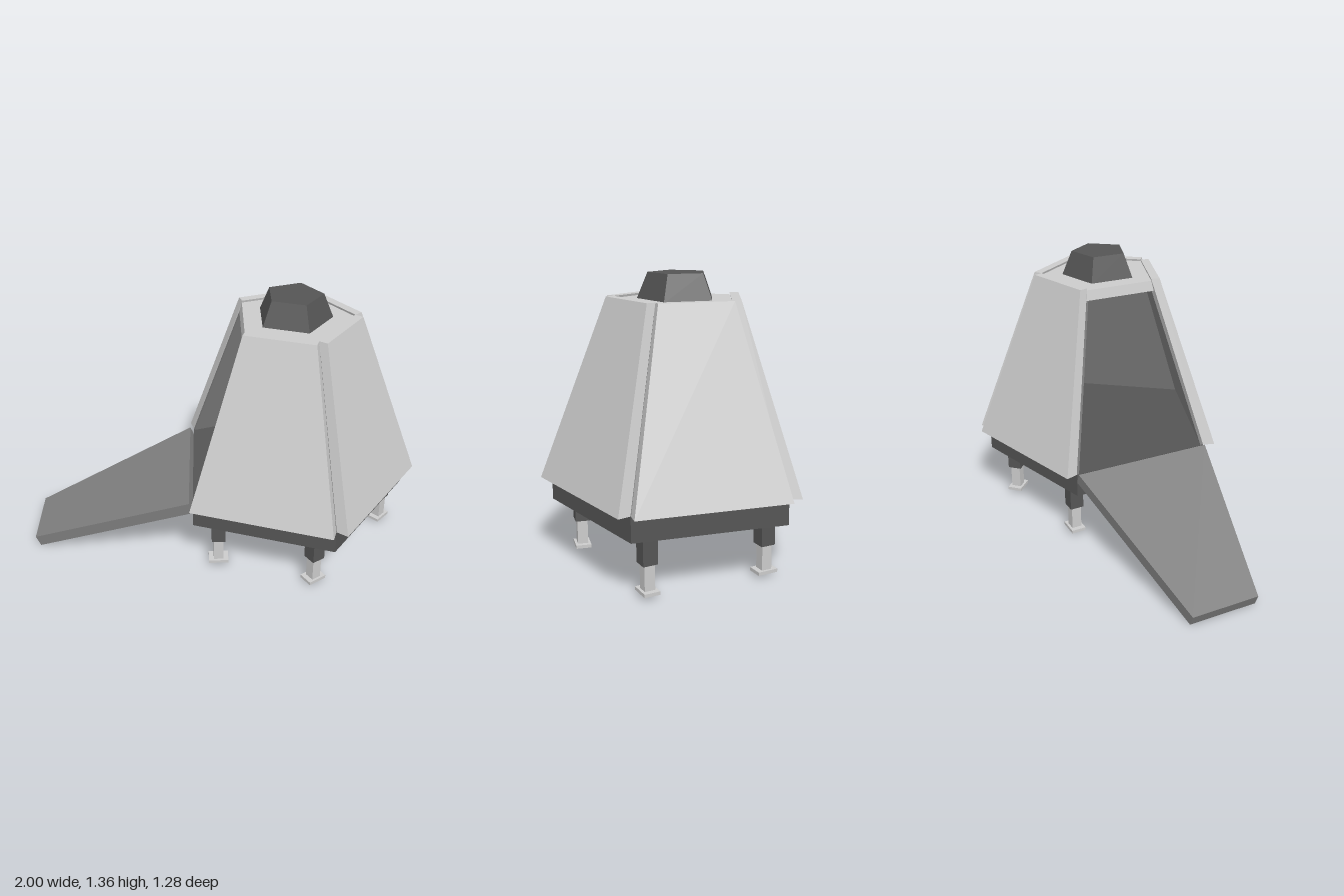
import * as THREE from 'three';

const CX = 0.336, CZ = -0.005;          // axis of the cabin
const TURN = THREE.MathUtils.degToRad(1.6);
const STEP = Math.PI * 2 / 5;
const FLOOR = 0.39, TOP = 1.25;

const mat = (color) => new THREE.MeshStandardMaterial({ color, flatShading: true });
const light = mat(0xcccccc), mid = mat(0x808080), dark = mat(0x555555);

function add(parent, name, geometry, material, x = 0, y = 0, z = 0) {
  const mesh = new THREE.Mesh(geometry, material);
  mesh.name = name;
  mesh.position.set(x, y, z);
  parent.add(mesh);
  return mesh;
}

// Five-sided frustum between two heights, with one corner near +x
function frustum(rTop, rBottom, y0, y1) {
  return new THREE.CylinderGeometry(rTop, rBottom, y1 - y0, 5, 1, false, Math.PI / 2 - TURN)
    .translate(0, (y0 + y1) / 2, 0);
}

// Unit box whose vertices are moved by a rule; u, v, w run from 0 to 1
function shapedBox(rule) {
  const g = new THREE.BoxGeometry(1, 1, 1);
  const p = g.attributes.position;
  for (let i = 0; i < p.count; i++) {
    p.setXYZ(i, ...rule(p.getX(i) + 0.5, p.getY(i) + 0.5, p.getZ(i) + 0.5));
  }
  g.computeVertexNormals();
  return g;
}

// Tapered wall leaning inward, from depth d0 to d1 off the pentagon side
function wall(d0, d1, yTop) {
  const { lerp } = THREE.MathUtils;
  return shapedBox((u, v, w) => [
    (u * 2 - 1) * lerp(0.358, 0.174, v),
    lerp(FLOOR, yTop, v),
    lerp(0.495, 0.24, v) + lerp(d0, d1, w) * lerp(1, 0.72, v),
  ]);
}

export function createModel() {
  const model = new THREE.Group();
  const cabin = new THREE.Group();
  cabin.name = 'cabin';
  cabin.position.set(CX, 0, CZ);
  model.add(cabin);

  // Base slab, roof and cap
  add(cabin, 'base', frustum(0.612, 0.612, 0.27, FLOOR), dark);
  add(cabin, 'roof', frustum(0.298, 0.312, 1.19, 1.24), light);
  add(cabin, 'cap', frustum(0.141, 0.193, 1.235, 1.36), dark);

  // Four wall panels with linings; the remaining side is the doorway
  const panel = wall(0, 0.06, TOP);
  const lining = wall(-0.015, 0.001, TOP - 0.02);
  for (let i = 0; i < 5; i++) {
    const side = new THREE.Group();
    side.rotation.y = Math.PI / 2 - (TURN + STEP * (i + 0.5));
    cabin.add(side);
    if (i !== 2) {
      side.name = 'wall';
      add(side, 'wallPanel', panel, light);
      add(side, 'wallLining', lining, mid);
    } else {
      // Ramp folded down to the ground
      side.name = 'doorway';
      const g = shapedBox((u, v, w) => [
        (u * 2 - 1) * THREE.MathUtils.lerp(0.358, 0.171, v), v * 0.89, w * 0.06]);
      const ramp = add(side, 'ramp', g, mid, 0, 0.4, 0.514);
      ramp.rotation.x = THREE.MathUtils.degToRad(112.8);
    }
  }

  // Legs: x, z, turn in degrees
  const legs = [
    [0.855, -0.025, 45], [0.43, 0.47, 32], [-0.04, 0.298, 0],
    [-0.04, -0.35, 0], [0.49, -0.46, -45],
  ];
  for (const [x, z, turn] of legs) {
    const leg = new THREE.Group();
    leg.name = 'leg';
    leg.position.set(x, 0, z);
    leg.rotation.y = THREE.MathUtils.degToRad(turn);
    model.add(leg);
    add(leg, 'legSocket', new THREE.BoxGeometry(0.07, 0.13, 0.07), dark, 0, 0.215, 0);
    add(leg, 'legStrut', new THREE.BoxGeometry(0.05, 0.13, 0.05), light, 0, 0.09, 0);
    add(leg, 'foot', new THREE.BoxGeometry(0.1, 0.016, 0.075), light, 0, 0.023, 0);
  }
  return model;
}
